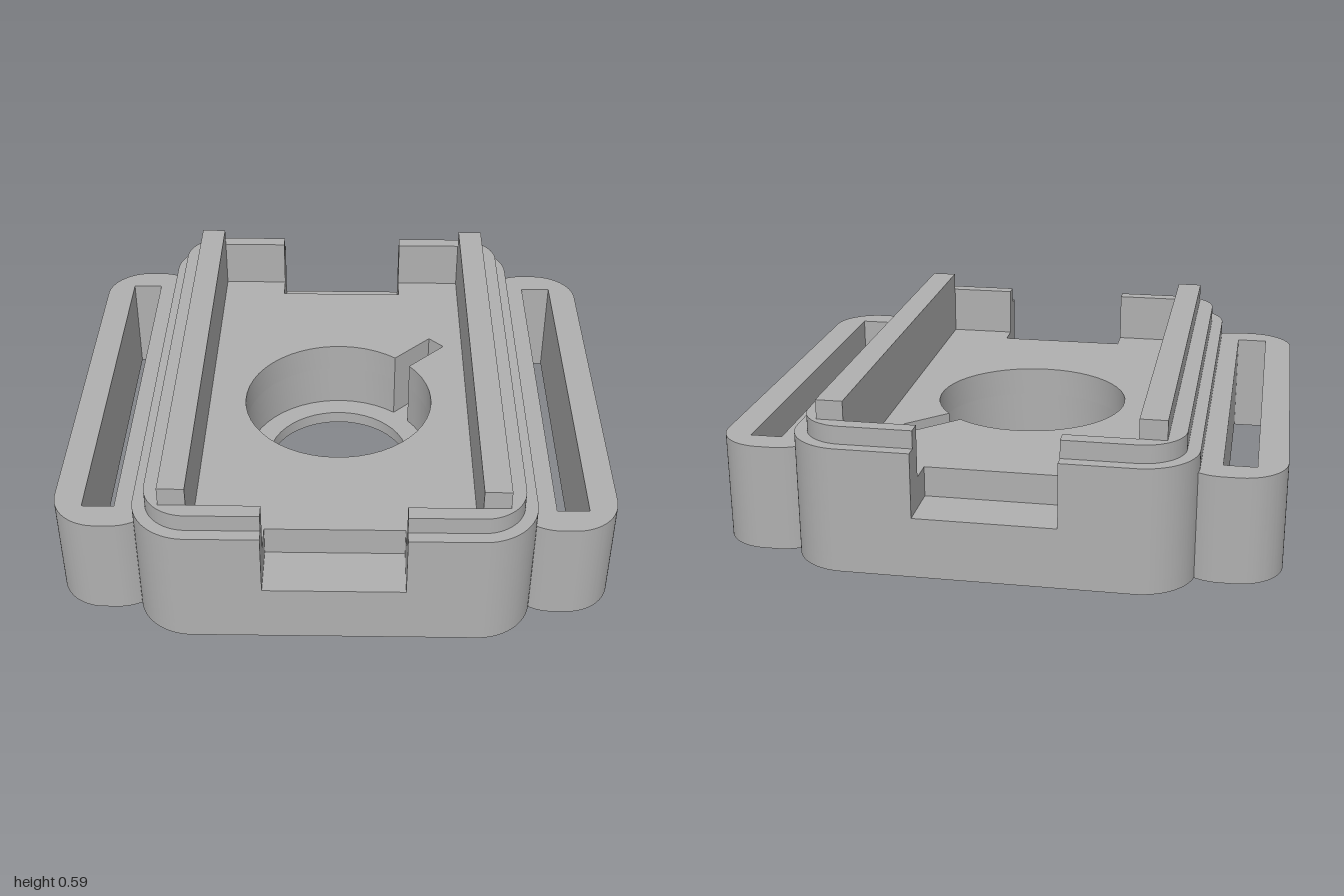
import * as THREE from 'three';
import { toCreasedNormals } from 'three/addons/utils/BufferGeometryUtils.js';

const grey = new THREE.MeshStandardMaterial({ color: 0xb0b0b0 });
grey.name = 'grey plastic';

const BODY = { w: 0.705, d: 0.965, r: 0.2 };
const STEP = { w: 0.66, d: 0.92, r: 0.155 };
const NOTCH_X = 0.25, NOTCH_Z = 0.77;   // end notches
const CAV_X = 0.6, CAV_Z = 0.865;       // tray cavity
const LEDGE = 0.05, NOTCH_Y = 0.22, FLOOR = 0.33, WALL = 0.455, LIP = 0.52;

// Plan outline pulled up from y0 to y1 (shape y points to the back)
function slab(name, shape, y0, y1) {
  const g = new THREE.ExtrudeGeometry(shape, { depth: y1 - y0, bevelEnabled: false, curveSegments: 24 });
  g.rotateX(-Math.PI / 2).translate(0, y0, 0);
  const mesh = new THREE.Mesh(toCreasedNormals(g, 0.5), grey);
  mesh.name = name;
  return mesh;
}

// Right half of a rounded rectangle, from its front to its back centre
function rightSide(s, { w, d, r }) {
  s.lineTo(w - r, -d);
  s.absarc(w - r, -d + r, r, -Math.PI / 2, 0, false);
  s.lineTo(w, d - r);
  s.absarc(w - r, d - r, r, 0, Math.PI / 2, false);
}

function leftSide(s, { w, d, r }) {
  s.lineTo(-w + r, d);
  s.absarc(-w + r, d - r, r, Math.PI / 2, Math.PI, false);
  s.lineTo(-w, -d + r);
  s.absarc(-w + r, -d + r, r, Math.PI, Math.PI * 1.5, false);
}

// Full rounded plan, optionally with the two end notches cut out
function plan(size, notched) {
  const s = new THREE.Shape();
  const x = notched ? NOTCH_X : 0;
  s.moveTo(x, -size.d);
  rightSide(s, size);
  if (notched) {
    s.lineTo(x, size.d); s.lineTo(x, NOTCH_Z); s.lineTo(-x, NOTCH_Z); s.lineTo(-x, size.d);
  }
  leftSide(s, size);
  if (notched) {
    s.lineTo(-x, -size.d); s.lineTo(-x, -NOTCH_Z); s.lineTo(x, -NOTCH_Z);
  }
  s.closePath();
  return s;
}

// C-shaped wall around one side of the cavity
function wallPlan(size) {
  const s = new THREE.Shape();
  s.moveTo(NOTCH_X, -size.d);
  rightSide(s, size);
  s.lineTo(NOTCH_X, size.d);
  s.lineTo(NOTCH_X, CAV_Z);
  s.lineTo(CAV_X, CAV_Z);
  s.lineTo(CAV_X, -CAV_Z);
  s.lineTo(NOTCH_X, -CAV_Z);
  s.closePath();
  return s;
}

function roundHole() {
  return new THREE.Path().absarc(0, 0, 0.28, 0, Math.PI * 2, false);
}

// Wide bore with a narrow diagonal slot
function keyHole() {
  const R = 0.365, half = 0.04, reach = 0.566, a = Math.asin(half / R), t = Math.PI / 4;
  const at = (u, v) => [u * Math.cos(t) - v * Math.sin(t), u * Math.sin(t) + v * Math.cos(t)];
  const p = new THREE.Path();
  p.absarc(0, 0, R, t + a, t - a + Math.PI * 2, false);
  p.lineTo(...at(reach, -half));
  p.lineTo(...at(reach, half));
  p.closePath();
  return p;
}

// Strap loop with a long slit right through it
function loopPlan() {
  const s = new THREE.Shape();
  const x0 = 0.62, x1 = 1, d = 0.83, r = 0.165;
  s.moveTo(x0 + r, -d);
  s.lineTo(x1 - r, -d);
  s.absarc(x1 - r, -d + r, r, -Math.PI / 2, 0, false);
  s.absarc(x1 - r, d - r, r, 0, Math.PI / 2, false);
  s.absarc(x0 + r, d - r, r, Math.PI / 2, Math.PI, false);
  s.absarc(x0 + r, -d + r, r, Math.PI, Math.PI * 1.5, false);
  const slit = new THREE.Path();
  slit.moveTo(0.78, -0.725);
  slit.lineTo(0.78, 0.725);
  slit.lineTo(0.895, 0.725);
  slit.lineTo(0.895, -0.725);
  slit.closePath();
  s.holes.push(slit);
  return s;
}

export function createModel() {
  const model = new THREE.Group();
  model.name = 'strapMount';

  // Base layers: bottom ledge, bored middle, notched floor
  const bottom = plan(BODY, false);
  bottom.holes.push(roundHole());
  const middle = plan(BODY, false);
  middle.holes.push(keyHole());
  const floor = plan(BODY, true);
  floor.holes.push(keyHole());
  model.add(
    slab('baseBottom', bottom, 0, LEDGE),
    slab('baseMiddle', middle, LEDGE, NOTCH_Y),
    slab('trayFloor', floor, NOTCH_Y, FLOOR),
  );

  // Each side: wall, stepped lip, rail and strap loop
  for (const [name, turn] of [['left', 0], ['right', Math.PI]]) {
    const side = new THREE.Group();
    side.name = name + 'Side';
    const rail = new THREE.Mesh(new THREE.BoxGeometry(0.095, 0.59 - FLOOR, CAV_Z * 2), grey);
    rail.name = 'rail';
    rail.position.set(0.5525, (0.59 + FLOOR) / 2, 0);
    side.add(
      slab('wall', wallPlan(BODY), FLOOR, WALL),
      slab('lip', wallPlan(STEP), WALL, LIP),
      rail,
      slab('strapLoop', loopPlan(), 0, 0.39),
    );
    side.rotation.y = turn;
    model.add(side);
  }
  return model;
}
